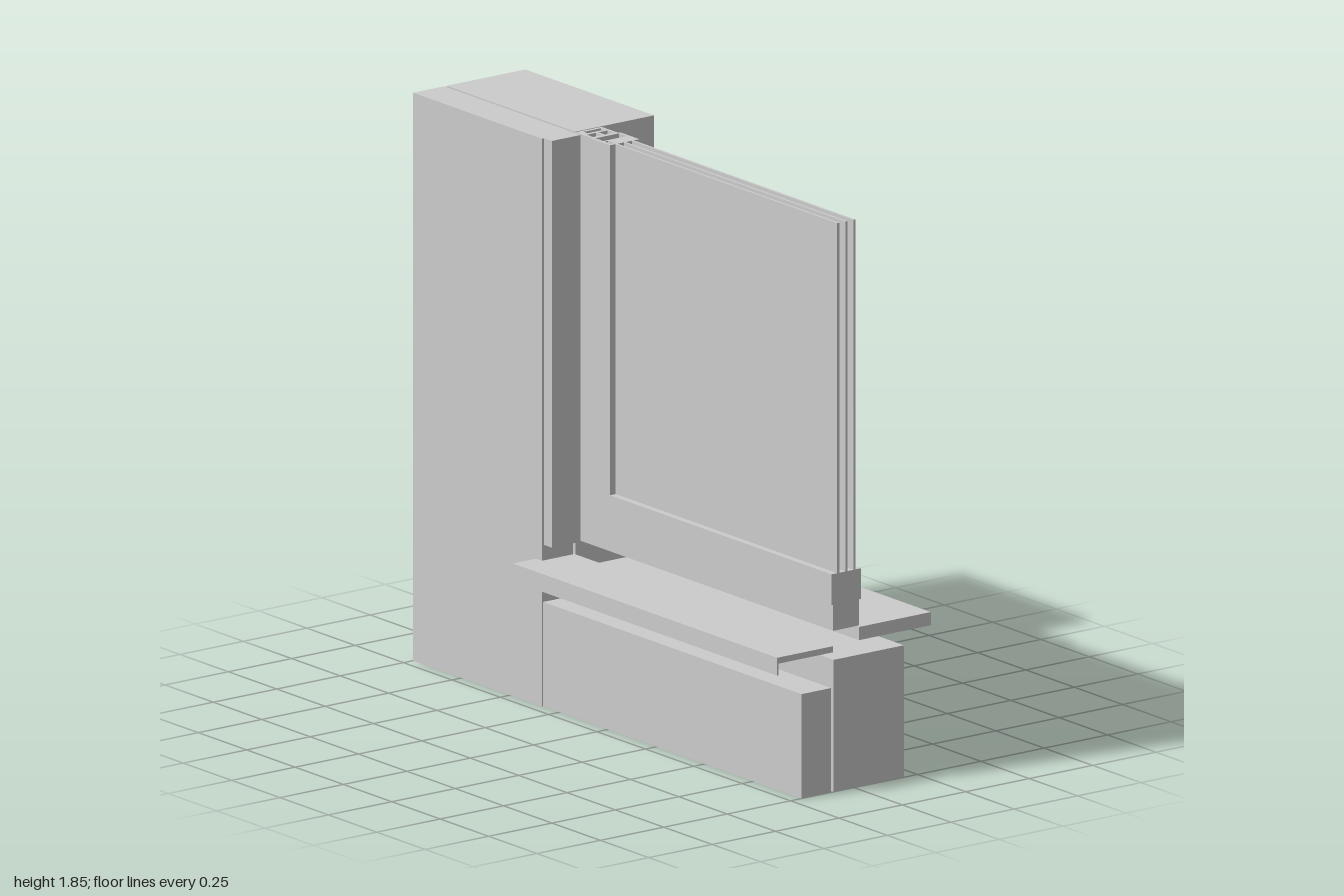
import * as THREE from 'three';

const material = new THREE.MeshStandardMaterial({ color: 0xcccccc, flatShading: true });
const TOP = 1.85;

// Box given by its limits on each axis
function block(group, name, [x0, x1], [y0, y1], [z0, z1]) {
  const mesh = new THREE.Mesh(new THREE.BoxGeometry(x1 - x0, y1 - y0, z1 - z0), material);
  mesh.name = name;
  mesh.position.set((x0 + x1) / 2, (y0 + y1) / 2, (z0 + z1) / 2);
  group.add(mesh);
}

// Closed rectangle in plan; z is stored negated so that extrusion can be turned upright
function rectangle(PathType, [x0, x1], [z0, z1]) {
  const path = new PathType();
  path.moveTo(x0, -z1).lineTo(x1, -z1).lineTo(x1, -z0).lineTo(x0, -z0).closePath();
  return path;
}

// Upright hollow profile with rectangular chambers
function upright(group, name, x, [y0, y1], z, chambers) {
  const shape = rectangle(THREE.Shape, x, z);
  for (const [cx, cz] of chambers) shape.holes.push(rectangle(THREE.Path, cx, cz));
  const geometry = new THREE.ExtrudeGeometry(shape, { depth: y1 - y0, bevelEnabled: false });
  geometry.rotateX(-Math.PI / 2);
  const mesh = new THREE.Mesh(geometry, material);
  mesh.name = name;
  mesh.position.y = y0;
  group.add(mesh);
}

export function createModel() {
  const model = new THREE.Group();
  model.name = 'windowWallSection';

  // Two-leaf wall with an air gap between the leaves
  const wall = new THREE.Group();
  wall.name = 'wall';
  block(wall, 'outerPier', [-1, -0.335], [0, TOP], [0.09, 0.212]);
  block(wall, 'innerPier', [-1, -0.335], [0, TOP], [-0.23, 0.08]);
  block(wall, 'outerReveal', [-0.335, -0.295], [0.525, TOP], [0.09, 0.203]);
  block(wall, 'outerParapet', [-0.335, 1], [0, 0.34], [0.09, 0.207]);
  block(wall, 'innerParapet', [-0.335, 1], [0, 0.43], [-0.197, 0.08]);

  // Window boards
  const sills = new THREE.Group();
  sills.name = 'sills';
  block(sills, 'innerSill', [-0.335, 1], [0.477, 0.52], [-0.303, -0.02]);
  block(sills, 'outerSill', [-0.365, 1], [0.455, 0.475], [0.083, 0.303]);
  block(sills, 'outerSillLip', [-0.365, 1], [0.417, 0.455], [0.298, 0.303]);

  // Fixed frame and the thicker sash
  const frameZ = [-0.02, 0.083];
  const sashZ = [-0.028, 0.088];
  const frame = new THREE.Group();
  frame.name = 'windowFrame';
  block(frame, 'frameRail', [-0.33, 1], [0.525, 0.61], frameZ);
  block(frame, 'sashRail', [-0.245, 1], [0.61, 0.71], sashZ);
  upright(frame, 'framePost', [-0.33, -0.245], [0.61, TOP], frameZ, [
    [[-0.318, -0.298], [-0.008, 0.06]],
    [[-0.286, -0.253], [-0.01, 0.026]],
    [[-0.286, -0.253], [0.036, 0.072]],
  ]);
  upright(frame, 'sashPost', [-0.245, -0.145], [0.71, TOP], sashZ, [
    [[-0.237, -0.197], [-0.018, 0.075]],
    [[-0.189, -0.155], [0.062, 0.076]],
  ]);

  // Triple glazing
  const glazing = new THREE.Group();
  glazing.name = 'glazing';
  for (const z of [-0.002, 0.03, 0.062]) {
    block(glazing, 'glassPane', [-0.145, 1], [0.71, TOP], [z - 0.004, z + 0.004]);
  }

  model.add(wall, sills, frame, glazing);
  return model;
}
